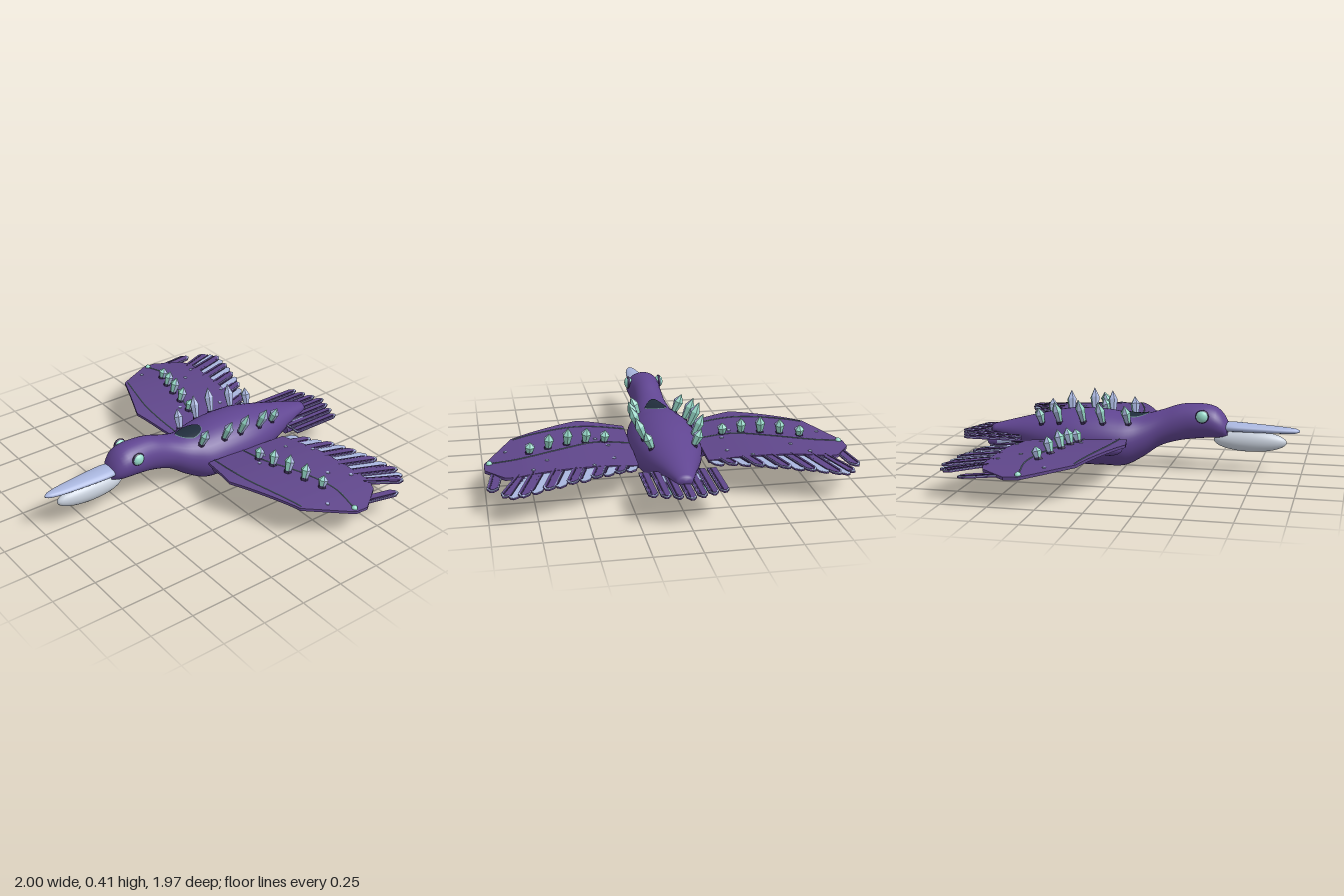
import * as THREE from 'three';

const mat = (name, color) => Object.assign(new THREE.MeshStandardMaterial({ color }), { name });

export function createModel() {
  const purple = mat('purple hide', 0x604591);
  const wingPurple = mat('wing purple', 0x5f468a);
  const dark = mat('dark outline', 0x32264a);
  const lavender = mat('lavender', 0xa9b6de);
  const bone = mat('pale beak', 0xc8d0dc);
  const teal = mat('teal crystal', 0x98dccb);
  const vein = mat('vein green', 0x68868a);
  const slate = mat('dark slate', 0x202d3c);
  const model = new THREE.Group();
  model.name = 'wingedCreature';

  const add = (name, geo, material, parent = model) => {
    const m = new THREE.Mesh(geo, material);
    m.name = name;
    parent.add(m);
    return m;
  };
  const flat = (g) => { const n = g.toNonIndexed(); n.computeVertexNormals(); return n; };

  // Smooth interpolation through rows [key, ...values] with falling or rising keys
  const sample = (rows, t) => {
    let i = 0;
    const up = rows[1][0] > rows[0][0] ? 1 : -1;
    while (i < rows.length - 2 && (t - rows[i + 1][0]) * up > 0) i++;
    const slope = (k, c) => {
      const a = rows[Math.max(0, k - 1)], b = rows[Math.min(rows.length - 1, k + 1)];
      return (b[c] - a[c]) / (b[0] - a[0]);
    };
    const A = rows[i], B = rows[i + 1], h = B[0] - A[0];
    const u = Math.min(1, Math.max(0, (t - A[0]) / h)), u2 = u * u, u3 = u2 * u;
    return A.slice(1).map((v, c) => (2 * u3 - 3 * u2 + 1) * v + (u3 - 2 * u2 + u) * h * slope(i, c + 1)
      + (3 * u2 - 2 * u3) * B[c + 1] + (u3 - u2) * h * slope(i + 1, c + 1));
  };

  // Elliptical loft from rows [z, top, bottom, halfWidth], running front to back
  const loft = (rows, steps, seg) => {
    const pos = [], idx = [], z0 = rows[0][0], z1 = rows[rows.length - 1][0];
    for (let i = -1; i <= steps + 1; i++) {
      const z = z0 + (z1 - z0) * Math.min(1, Math.max(0, i / steps));
      const [t, b, w] = sample(rows, z), k = i < 0 || i > steps ? 0 : 1;
      for (let j = 0; j < seg; j++) {
        const a = j / seg * Math.PI * 2;
        pos.push(Math.cos(a) * w * k, (t + b) / 2 + Math.sin(a) * (t - b) / 2 * k, z);
      }
    }
    for (let i = 0; i < steps + 2; i++) for (let j = 0; j < seg; j++) {
      const a = i * seg + j, b = i * seg + (j + 1) % seg, c = a + seg, d = b + seg;
      idx.push(a, c, b, b, c, d);
    }
    const g = new THREE.BufferGeometry();
    g.setAttribute('position', new THREE.Float32BufferAttribute(pos, 3));
    g.setIndex(idx);
    g.computeVertexNormals();
    return g;
  };

  // Body, neck and head in one skin
  const bodyRows = [
    [0.585, 0.28, 0.205, 0.05], [0.56, 0.325, 0.197, 0.075], [0.52, 0.363, 0.192, 0.094], [0.45, 0.381, 0.187, 0.097],
    [0.32, 0.375, 0.168, 0.088], [0.2, 0.335, 0.13, 0.096], [0.1, 0.308, 0.06, 0.13], [0, 0.31, 0.008, 0.175],
    [-0.12, 0.325, 0.003, 0.192], [-0.25, 0.328, 0.003, 0.195], [-0.36, 0.318, 0.015, 0.184], [-0.5, 0.288, 0.06, 0.148],
    [-0.65, 0.25, 0.115, 0.093], [-0.8, 0.21, 0.16, 0.04]];
  add('body', loft(bodyRows, 64, 36), purple);
  const skinTop = (x, z) => {
    const [t, b, w] = sample(bodyRows, z);
    return (t + b) / 2 + (t - b) / 2 * Math.sqrt(Math.max(0, 1 - (x / w) ** 2));
  };

  // Beak
  add('upperBeak', loft([[0.985, 0.252, 0.242, 0.006], [0.965, 0.261, 0.234, 0.02], [0.9, 0.267, 0.231, 0.037],
    [0.75, 0.277, 0.23, 0.053], [0.62, 0.284, 0.23, 0.061], [0.57, 0.284, 0.23, 0.056]], 24, 20), lavender);
  const pouch = add('lowerBeak', new THREE.SphereGeometry(1, 28, 18), bone);
  pouch.scale.set(0.05, 0.06, 0.205);
  pouch.position.set(0, 0.179, 0.71);

  // Teardrop patch lying on the back
  const patch = (name, size, lift, material) => {
    const g = new THREE.RingGeometry(0.001, 1, 28, 5).rotateX(-Math.PI / 2), p = g.attributes.position;
    for (let i = 0; i < p.count; i++) {
      const zz = p.getZ(i), x = p.getX(i) * 0.061 * size * (zz > 0 ? 1 - 0.35 * zz : 1), z = 0.05 + zz * 0.083 * size;
      p.setXYZ(i, x, skinTop(x, z) + lift, z);
    }
    g.computeVertexNormals();
    add(name, g, material);
  };
  patch('backPatchRim', 1.05, 0.003, vein);
  patch('backPatch', 1, 0.006, slate);

  // Faceted crystal with teal and pale faces and a dark collar, pointing up its own y axis
  const crystal = (name, r, h, paleFaces) => {
    const g = new THREE.Group();
    g.name = name;
    const pts = [[0.001, -0.004], [r * 0.55, -0.004], [r, h * 0.6], [0.001, h]].map((p) => new THREE.Vector2(...p));
    const shard = flat(new THREE.LatheGeometry(pts, 6));
    for (let i = 0; i < 6; i++) shard.addGroup(i * 18, 18, paleFaces.includes(i) ? 1 : 0);
    add('crystalShard', shard, [teal, lavender], g);
    add('crystalCollar', flat(new THREE.CylinderGeometry(r * 0.65, r * 0.8, 0.014, 6)), dark, g);
    model.add(g);
    return g;
  };

  // Height of the wing surface
  const wingRise = [[0.19, 0.175], [0.45, 0.203], [0.75, 0.198], [1, 0.163]];
  const wingY = (x, z) => sample(wingRise, Math.abs(x))[0] + 0.05 * (z + 0.25);

  // Pointed feather in layers: purple back, pale rim, purple face shifted to one side, dark quill
  const blade = (w, len, tip, depth, y) => {
    const s = new THREE.Shape([[-w, 0], [w, 0], [w, len - tip], [w * 0.3, len], [-w * 0.3, len], [-w, len - tip]]
      .map((p) => new THREE.Vector2(...p)));
    return new THREE.ExtrudeGeometry(s, { depth, bevelEnabled: false }).rotateX(-Math.PI / 2).translate(0, y, 0);
  };
  const feather = (name, a, b, w, face, shift, quill) => {
    const g = new THREE.Group(), d = b.clone().sub(a), len = d.length();
    g.name = name;
    add('featherBack', blade(w, len, 0.03, 0.008, -0.006), wingPurple, g);
    add('featherRim', blade(w * 0.97, len - 0.002, 0.03, 0.002, 0.002), lavender, g);
    add('featherFace', blade(w * face, len - 0.022, 0.025, 0.002, 0.004).translate(w * shift, 0, -0.008), wingPurple, g);
    add('featherQuill', blade(0.004, len - 0.03, 0.01, 0.003, 0.005).translate(w * quill, 0, -0.008), dark, g);
    g.position.copy(a);
    g.rotation.set(Math.asin(d.y / len), Math.atan2(-d.x, -d.z), 0, 'YXZ');
    model.add(g);
  };

  // Tail fan
  for (let i = -3; i <= 3; i++) {
    const x = i * 0.061;
    feather('tailFeather', new THREE.Vector3(x, 0.166, -0.6), new THREE.Vector3(x, 0.166, -0.985 + Math.abs(i) * 0.022),
      0.026, 0.85, 0, 0.3);
  }

  // Wing outline rows [x, front z, back z]
  const outline = [[0.19, 0.045, -0.5], [0.45, 0.095, -0.54], [0.84, -0.075, -0.575], [0.9, -0.17, -0.55], [1, -0.33, -0.41]];
  const edge = (x) => {
    let i = 0;
    while (i < outline.length - 2 && x > outline[i + 1][0]) i++;
    const A = outline[i], B = outline[i + 1], u = (x - A[0]) / (B[0] - A[0]);
    return [A[1] + (B[1] - A[1]) * u, A[2] + (B[2] - A[2]) * u];
  };
  const featherTips = [[0.25, -0.57], [0.315, -0.605], [0.38, -0.635], [0.445, -0.67], [0.51, -0.7], [0.575, -0.72],
    [0.64, -0.745], [0.7, -0.765], [0.765, -0.78], [0.83, -0.8], [0.88, -0.79], [0.918, -0.76], [0.975, -0.66]];

  for (const s of [1, -1]) {
    const side = s > 0 ? 'left' : 'right';
    const on = (x, z, lift = 0) => new THREE.Vector3(s * x, wingY(x, z) + lift, z);

    // Wing plate
    const g = new THREE.BoxGeometry(1, 1, 1, 81, 1, 8), p = g.attributes.position;
    for (let i = 0; i < p.count; i++) {
      const x = 0.19 + 0.81 * (0.5 + s * p.getX(i)), [f, b] = edge(x);
      const z = b + (f - b) * (p.getZ(i) + 0.5);
      p.setXYZ(i, s * x, wingY(x, z) + p.getY(i) * 0.016, z);
    }
    add(side + 'Wing', flat(g), wingPurple);

    // Flight feathers along the trailing edge, every other one almost wholly pale
    featherTips.forEach(([x, z], i) => {
      const last = i === 12, odd = i % 2;
      const bx = Math.max(0.215, last ? 0.94 : x - 0.03 - i * 0.007), bz = last ? -0.46 : edge(bx)[1] + 0.03;
      feather(side + 'WingFeather', on(bx, bz, -0.004 + odd * 0.004), on(x, z, odd * 0.004),
        0.031, odd || last ? 0.85 : 0.2, s * (odd || last ? 0 : 0.7), s * (odd ? 0.4 : 0.45));
    });

    // Veins and wingtip bead
    for (const line of [[[0.19, -0.2], [0.38, -0.215], [0.6, -0.3], [0.8, -0.355], [0.97, -0.34]],
      [[0.19, 0], [0.36, 0.01], [0.5, 0], [0.68, -0.045], [0.83, -0.09]]]) {
      const a = line[0][0], span = line[4][0] - a;
      const pts = Array.from({ length: 25 }, (_, i) => on(a + span * i / 24, sample(line, a + span * i / 24)[0], 0.0085));
      add(side + 'WingVein', new THREE.TubeGeometry(new THREE.CatmullRomCurve3(pts), 48, 0.0035, 6), vein);
    }
    const bead = add(side + 'WingtipBead', new THREE.SphereGeometry(0.017, 14, 10), teal);
    bead.position.copy(on(0.972, -0.34, 0.008));

    // Pale flecks on the wing
    for (const [x, z] of [[0.43, -0.52], [0.31, -0.42], [0.67, -0.42], [0.75, -0.52], [0.38, -0.17], [0.32, -0.25], [0.88, -0.23]])
      add(side + 'WingFleck', new THREE.CylinderGeometry(0.011, 0.011, 0.006, 6), lavender).position.copy(on(x, z, 0.009));

    // Wing crystals
    [[0.335, -0.2, 0.07], [0.44, -0.215, 0.09], [0.545, -0.235, 0.1], [0.65, -0.265, 0.09], [0.755, -0.3, 0.065]].forEach(([x, z, h]) => {
      const c = crystal(side + 'WingCrystal', 0.029, h, [1, 4]);
      c.position.copy(on(x, z, 0.012));
      c.rotation.set(-0.25, 0, s * 0.08);
    });

    // Back crystals, leaning outward, paler on the inward faces
    [[0.03, 0.105, 0.115], [-0.11, 0.135, 0.135], [-0.22, 0.14, 0.145], [-0.36, 0.135, 0.135], [-0.47, 0.115, 0.1]].forEach(([z, x, h]) => {
      const c = crystal(side + 'BackCrystal', 0.028, h, s > 0 ? [1, 4, 5] : [0, 1, 4]);
      c.position.set(s * x, skinTop(x, z) - 0.002, z);
      c.rotation.set(-0.12, 0, -s * 0.38);
    });

    // Eye: bright dome in a thin dark socket
    const eye = new THREE.Group();
    eye.name = side + 'Eye';
    eye.position.set(s * 0.093, 0.325, 0.45);
    add('eyeSocket', new THREE.SphereGeometry(1, 20, 14), dark, eye).scale.set(0.015, 0.038, 0.038);
    add('eyeGlow', new THREE.SphereGeometry(1, 24, 16), teal, eye).scale.set(0.024, 0.034, 0.034);
    model.add(eye);

    // Side pods with a pale spot
    for (const z of [-0.055, -0.245]) {
      const pod = new THREE.Group();
      pod.name = side + 'SidePod';
      pod.position.set(s * 0.205, 0.143, z);
      add('podShell', new THREE.SphereGeometry(1, 24, 16), purple, pod).scale.set(0.04, 0.04, 0.076);
      const spot = add('podSpot', new THREE.SphereGeometry(1, 14, 10), lavender, pod);
      spot.scale.set(0.008, 0.015, 0.018);
      spot.position.x = s * 0.037;
      model.add(pod);
    }

    // Tail tubes with a pale ring and glowing end
    const tube = new THREE.Group();
    tube.name = side + 'TailTube';
    tube.position.set(s * 0.09, 0.135, 0);
    for (const [name, r, z, len, m] of [['tubeShell', 0.03, -0.68, 0.16, purple], ['tubeRing', 0.033, -0.7, 0.085, lavender],
      ['tubeRim', 0.028, -0.775, 0.045, purple], ['tubeGlow', 0.024, -0.78, 0.044, teal]])
      add(name, new THREE.CylinderGeometry(r, r, len, 18).rotateX(Math.PI / 2).translate(0, 0, z), m, tube);
    model.add(tube);
  }
  return model;
}
